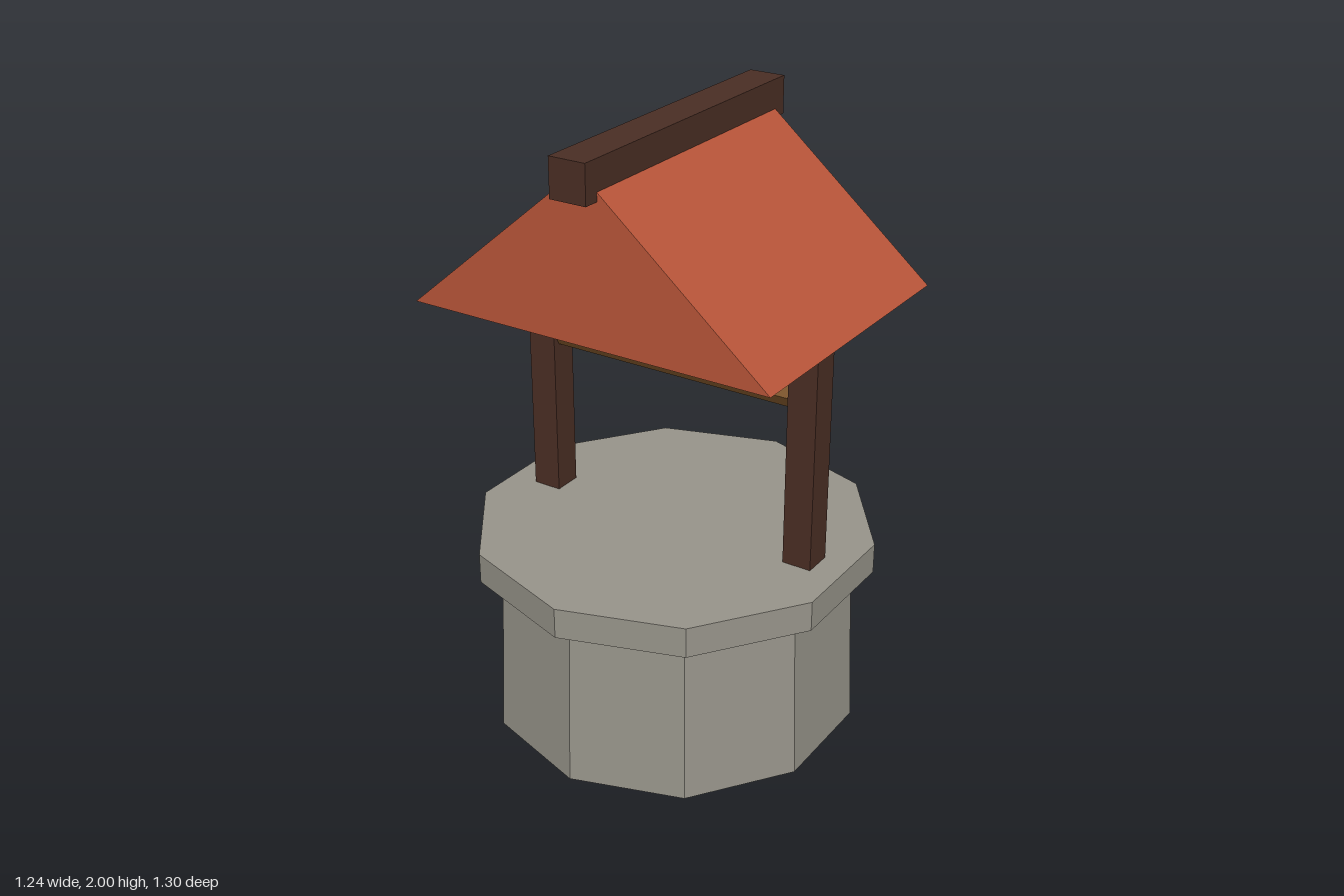
import * as THREE from 'three';

const flat = (name, color) => {
  const m = new THREE.MeshStandardMaterial({ color });
  m.name = name;
  m.flatShading = true;
  return m;
};

export function createModel() {
  const well = new THREE.Group();
  well.name = 'well';

  const stone = flat('stone', 0x97948a);
  const darkWood = flat('darkWood', 0x4a2e24);
  const lightWood = flat('lightWood', 0x7e5529);
  const tile = flat('roofTile', 0xb85539);

  const add = (name, geometry, material, x = 0, y = 0, z = 0) => {
    const mesh = new THREE.Mesh(geometry, material);
    mesh.name = name;
    mesh.position.set(x, y, z);
    well.add(mesh);
    return mesh;
  };

  // Ten-sided stone shaft, slightly tapered, with an overhanging rim
  add('shaft', new THREE.CylinderGeometry(0.58, 0.603, 0.555, 10), stone, 0, 0.2775);
  add('rim', new THREE.CylinderGeometry(0.652, 0.652, 0.1, 10), stone, 0, 0.605);

  // Two posts carrying the roof
  for (const [name, side] of [['leftPost', 1], ['rightPost', -1]]) {
    add(name, new THREE.BoxGeometry(0.097, 0.8, 0.097), darkWood, side * 0.478, 1.045);
  }

  // Six-sided winch axle between the posts
  const axle = add('axle', new THREE.CylinderGeometry(0.0435, 0.0435, 0.87, 6), lightWood, 0, 1.212);
  axle.rotation.z = Math.PI / 2;

  // Solid gable roof
  const gable = new THREE.Shape([
    new THREE.Vector2(-0.615, 1.438),
    new THREE.Vector2(0.615, 1.438),
    new THREE.Vector2(0, 1.957),
  ]);
  const depth = 0.954;
  add('roof', new THREE.ExtrudeGeometry(gable, { depth, bevelEnabled: false }), tile, 0, 0, -depth / 2);

  // Ridge beam
  add('ridgeBeam', new THREE.BoxGeometry(0.122, 0.122, 1.056), darkWood, 0, 1.939);

  return well;
}
